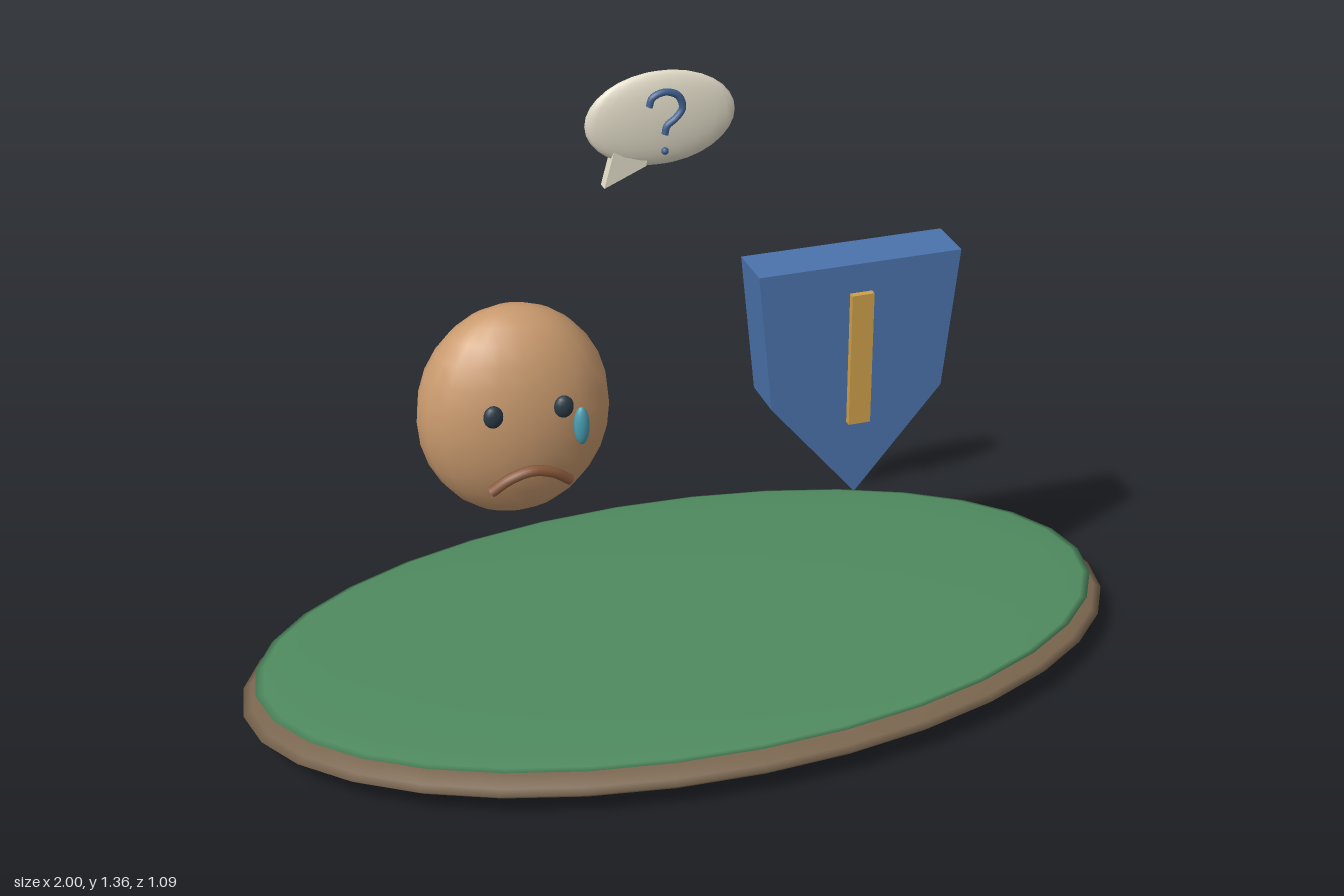
import * as THREE from 'three';

const V = (x, y, z) => new THREE.Vector3(x, y, z);
const paint = (color, side = THREE.FrontSide) => new THREE.MeshStandardMaterial({ color, side });

function add(parent, name, geometry, material, x = 0, y = 0, z = 0) {
  const mesh = new THREE.Mesh(geometry, material);
  mesh.name = name;
  mesh.position.set(x, y, z);
  parent.add(mesh);
  return mesh;
}

// Smooth ellipsoid with given half-sizes
const ellipsoid = (rx, ry, rz, w = 24, h = 12) =>
  new THREE.SphereGeometry(1, w, h).scale(rx, ry, rz);

// Flat outline given thickness, centred on z = 0
function slab(points, depth) {
  const shape = new THREE.Shape(points.map(([x, y]) => new THREE.Vector2(x, y)));
  return new THREE.ExtrudeGeometry(shape, { depth, bevelEnabled: false }).translate(0, 0, -depth / 2);
}

function makeGround() {
  const g = new THREE.Group();
  g.name = 'ground';
  add(g, 'earth', ellipsoid(1, 0.06, 0.545, 32, 16), paint(0x7a664f), 0, 0.06, 0);
  add(g, 'grass', ellipsoid(0.97, 0.019, 0.525, 32, 16), paint(0x4f8a5f), 0, 0.105, 0);
  return g;
}

function makeFace() {
  const g = new THREE.Group();
  g.name = 'sadFace';
  g.position.set(-0.38, 0.708, 0);
  add(g, 'head', ellipsoid(0.208, 0.238, 0.132, 20, 14), paint(0xc99a6e));
  const eyePaint = paint(0x2b3a45);
  for (const side of [-1, 1]) {
    add(g, side < 0 ? 'rightEye' : 'leftEye', ellipsoid(0.021, 0.025, 0.014, 16, 10),
      eyePaint, side * 0.075, 0.054, 0.126);
  }
  add(g, 'tear', ellipsoid(0.017, 0.044, 0.014, 16, 10), paint(0x4a9db0), 0.115, -0.002, 0.117);
  // Downturned mouth
  const curve = new THREE.CatmullRomCurve3([
    V(-0.085, -0.12, 0.127), V(-0.045, -0.09, 0.137), V(0, -0.077, 0.141),
    V(0.045, -0.09, 0.137), V(0.085, -0.12, 0.127),
  ]);
  add(g, 'mouth', new THREE.TubeGeometry(curve, 20, 0.012, 8), paint(0x8c5a3c, THREE.DoubleSide));
  return g;
}

function makeShield() {
  const g = new THREE.Group();
  g.name = 'shield';
  g.position.x = 0.375;
  const outline = [[-0.23, 0.955], [-0.197, 0.635], [0, 0.4], [0.197, 0.635], [0.23, 0.955]];
  add(g, 'shieldPlate', slab(outline, 0.114), paint(0x4b73ad));
  add(g, 'shieldBar', new THREE.BoxGeometry(0.05, 0.31, 0.015), paint(0xcfa04a), 0, 0.735, 0.068);
  return g;
}

function makeBubble() {
  const g = new THREE.Group();
  g.name = 'speechBubble';
  g.position.set(0, 1.25, -0.165);
  const cream = paint(0xe2dcc8);
  add(g, 'bubble', ellipsoid(0.166, 0.105, 0.026, 24, 16), cream);
  add(g, 'bubbleTail', slab([[-0.128, -0.14], [-0.035, -0.1], [-0.03, -0.06], [-0.106, -0.06]], 0.026), cream);
  // Curled hook over a dot
  const blue = paint(0x40608f, THREE.DoubleSide);
  const hook = new THREE.CatmullRomCurve3([
    [-0.034, 0.04], [-0.027, 0.059], [0, 0.069], [0.029, 0.058],
    [0.039, 0.03], [0.025, 0.009], [0.005, -0.007], [0, -0.025],
  ].map(([x, y]) => V(x, y, 0.032)));
  add(g, 'hook', new THREE.TubeGeometry(hook, 32, 0.008, 8), blue);
  add(g, 'dot', new THREE.SphereGeometry(0.008, 12, 8), blue, 0, -0.063, 0.032);
  return g;
}

export function createModel() {
  const model = new THREE.Group();
  model.name = 'model';
  model.add(makeGround(), makeFace(), makeShield(), makeBubble());
  return model;
}
